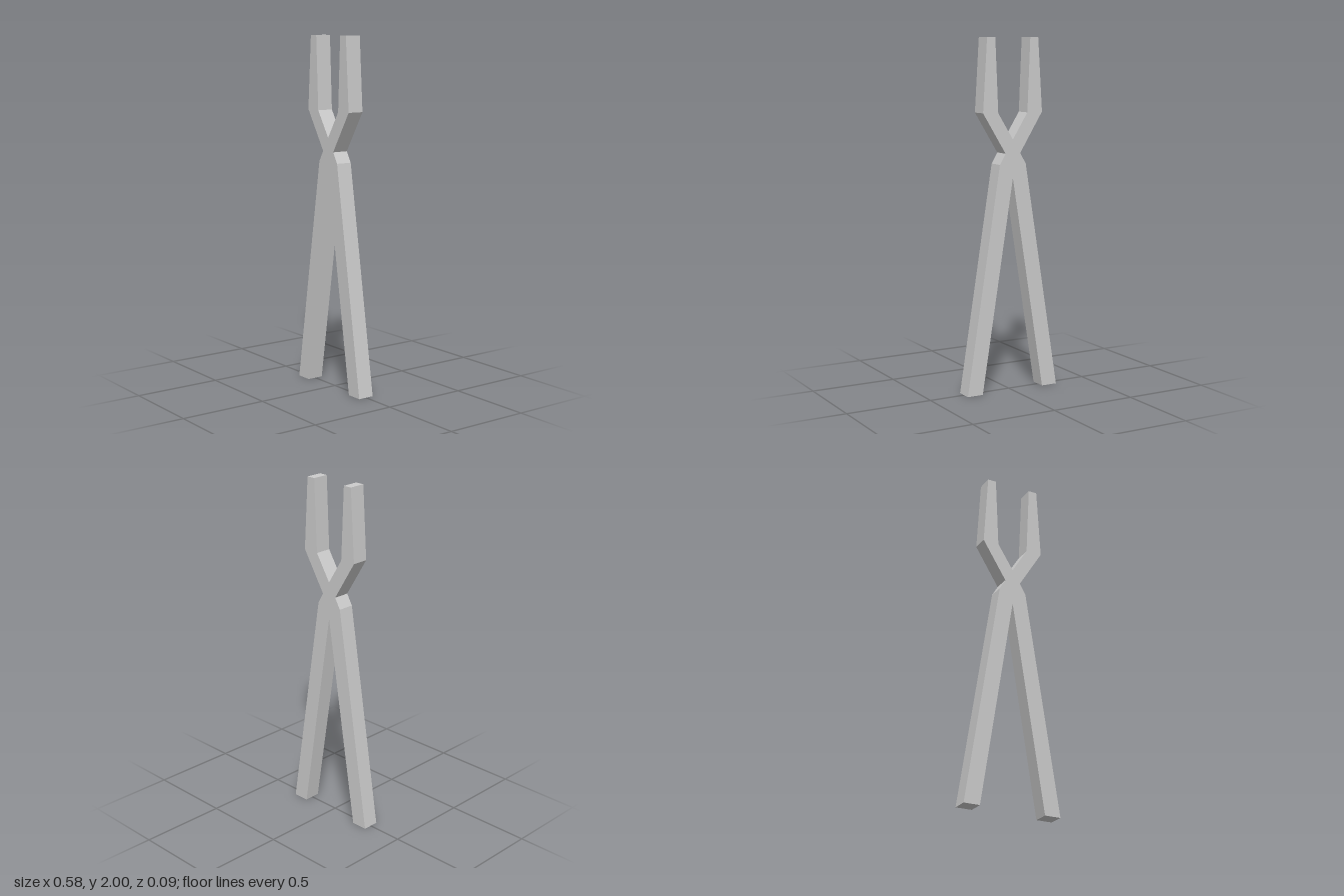
import * as THREE from 'three';

const DEPTH = 0.095;

export function createModel() {
  const group = new THREE.Group();
  group.name = 'tongs';

  // Outline of the +x half, from the handle crotch round to the jaw notch
  const half = [
    [0, 1.22],                    // crotch between the handles
    [0.195, 0], [0.29, 0],        // handle end
    [0.083, 1.297],               // shoulder
    [0.047, 1.358],               // waist at the crossing
    [0.188, 1.585],               // outer jaw bend
    [0.162, 2], [0.111, 2],       // jaw tip
    [0.093, 1.583],               // inner jaw bend
    [0, 1.435],                   // notch between the jaws
  ];
  // Mirror the points that lie off the centre line
  const mirrored = half.slice(1, -1).reverse().map(([x, y]) => [-x, y]);
  const outline = [...half, ...mirrored].map(([x, y]) => new THREE.Vector2(x, y));

  // Crossed handles and jaws as one flat bar of constant thickness
  const geometry = new THREE.ExtrudeGeometry(new THREE.Shape(outline), {
    depth: DEPTH,
    bevelEnabled: false,
  });
  geometry.translate(0, 0, -DEPTH / 2);

  const material = new THREE.MeshStandardMaterial({ color: 0xcccccc, flatShading: true });
  const body = new THREE.Mesh(geometry, material);
  body.name = 'crossedHandlesAndJaws';
  group.add(body);
  return group;
}
